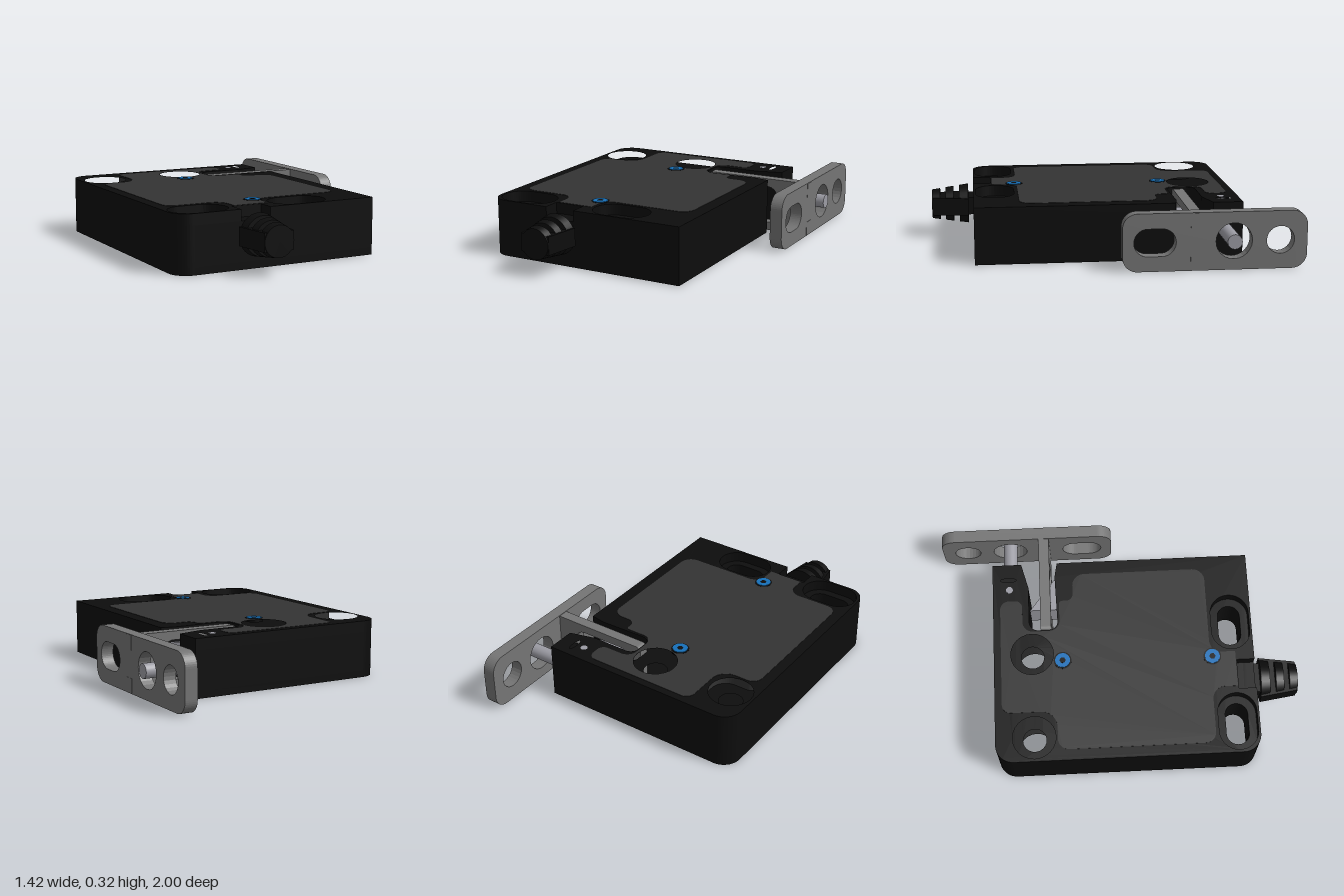
import * as THREE from 'three';

const mat = (color) => new THREE.MeshStandardMaterial({ color });
const black = mat(0x0d0d0d), dark = mat(0x333333), steel = mat(0x757575);
const bright = mat(0x9c9ca4), blue = mat(0x1670b9);

// Closed outline through [x, y, radius] corners, each corner rounded by its radius
function outline(pts, Type = THREE.Shape) {
  const s = new Type(), n = pts.length;
  pts.forEach(([x, y, r = 0], i) => {
    const p = new THREE.Vector2(x, y);
    const toward = (q) => new THREE.Vector2(q[0] - x, q[1] - y).normalize();
    const a = toward(pts[(i + n - 1) % n]), b = toward(pts[(i + 1) % n]);
    const at = (d, k) => p.clone().addScaledVector(d, k);
    const start = at(a, r), end = at(b, r);
    if (i === 0) s.moveTo(start.x, start.y); else s.lineTo(start.x, start.y);
    if (r > 0) {
      const c1 = at(a, r * 0.448), c2 = at(b, r * 0.448);
      s.bezierCurveTo(c1.x, c1.y, c2.x, c2.y, end.x, end.y);
    }
  });
  s.closePath();
  return s;
}
const rect = (x0, y0, x1, y1, r) => [[x0, y0, r], [x1, y0, r], [x1, y1, r], [x0, y1, r]];
const rectHole = (...a) => outline(rect(...a), THREE.Path);
function roundHole(x, y, r, ry = r) {
  return new THREE.Path().absellipse(x, y, r, ry, 0, Math.PI * 2, true);
}
const flip = (pts) => pts.map(([x, z, r]) => [x, -z, r]);

function extrude(shape, holes, depth) {
  shape.holes = holes;
  return new THREE.ExtrudeGeometry(shape, { depth, bevelEnabled: false, curveSegments: 12 });
}
// Plan outline given as x, z, raised from y0 to y1
function slab(pts, holes, y0, y1) {
  return extrude(outline(flip(pts)), holes, y1 - y0).rotateX(-Math.PI / 2).translate(0, y0, 0);
}

export function createModel() {
  const model = new THREE.Group();
  const add = (name, geometry, material, parent = model) => {
    const m = new THREE.Mesh(geometry, material);
    m.name = name;
    parent.add(m);
    return m;
  };

  // Housing: three layers, so that the mounting holes are counterbored at both ends
  const housing = new THREE.Group();
  housing.name = 'housing';
  model.add(housing);
  const notch = [[-0.35, 0.76], [-0.35, 0.66], [-0.18, 0.66], [-0.18, 0.76]];
  const plan = (front) => [
    [-0.715, -0.7, 0.1], [0.455, -0.7], [0.455, -0.535], [0.31, -0.497],
    [0.047, -0.497, 0.05], [0.047, -0.335, 0.05], [0.37, -0.345], [0.455, -0.33],
    [0.455, 0.76], ...front.slice().reverse(), [-0.715, 0.76, 0.1],
  ];
  const mounts = (grow) => [
    roundHole(-0.58, 0.485, 0.065 + grow),
    roundHole(-0.095, 0.485, 0.065 + grow),
    ...[[-0.655, -0.42], [-0.07, 0.165]].map(([a, b]) => {
      const g = Math.min(grow, 0.045), r = 0.063 + g;
      return rectHole(a - g, -0.64 - r, b + g, -0.64 + r, r - 0.0005);
    }),
    roundHole(0.36, 0.61, 0.012, 0.045),
  ];
  add('housingBase', slab(plan([]), mounts(0.035), 0, 0.04), black, housing);
  add('housingCore', slab(plan([]), mounts(0), 0.04, 0.255), black, housing);
  add('housingTop', slab(plan(notch), mounts(0.055), 0.255, 0.316), black, housing);

  // Cover plate let into the top
  const cover = [
    [-0.435, -0.66, 0.05], [0.23, -0.66, 0.05], [0.23, -0.535, 0.04],
    [0.04, -0.535, 0.06], [0.04, -0.325, 0.06], [0.22, -0.325, 0.02],
    [0.22, -0.245, 0.04], [0.38, -0.245, 0.07], [0.38, 0.513, 0.07],
    [-0.13, 0.513, 0.07], [-0.13, 0.655], [-0.335, 0.655], [-0.335, 0.513, 0.07],
    [-0.655, 0.513, 0.06], [-0.655, -0.355, 0.06], [-0.435, -0.355, 0.09],
  ];
  add('cover', slab(cover, [roundHole(-0.095, 0.485, 0.122)], 0.25, 0.318), dark);

  // Cover screws with a dark socket
  for (const [x, z] of [[-0.14, -0.315], [-0.155, 0.525]]) {
    add('screwSeat', new THREE.CylinderGeometry(0.05, 0.05, 0.02, 24).translate(x, 0.309, z), black);
    add('screw', new THREE.CylinderGeometry(0.042, 0.042, 0.02, 24).translate(x, 0.312, z), blue);
    add('screwSocket', new THREE.CylinderGeometry(0.018, 0.018, 0.02, 6).translate(x, 0.3125, z), black);
  }

  // Cable gland: flat web with three tapering ribs
  const gland = new THREE.Group();
  gland.name = 'cableGland';
  gland.position.set(-0.265, 0.183, 0);
  model.add(gland);
  const web = [
    [-0.083, 0.66], [0.083, 0.66], [0.083, 0.79], [0.115, 0.79],
    [0.085, 0.995], [-0.085, 0.995], [-0.115, 0.79], [-0.083, 0.79],
  ];
  add('glandWeb', slab(web, [], -0.05, 0.05), black, gland);
  const taper = (z) => 0.115 - (z - 0.79) * 0.146;
  for (const [a, b] of [[0.79, 0.842], [0.876, 0.922], [0.954, 1]]) {
    add('glandRib', new THREE.CylinderGeometry(taper(b), taper(a), b - a, 32)
      .rotateX(Math.PI / 2).translate(0, 0, (a + b) / 2), black, gland);
  }

  // Actuator plate, drawn in the side plane (-z, y)
  const plate = extrude(outline(rect(0.01, 0, 1, 0.315, 0.08)), [
    rectHole(0.07, 0.082, 0.295, 0.232, 0.0745),
    roundHole(0.605, 0.157, 0.098),
    roundHole(0.855, 0.157, 0.075),
  ], 0.07).rotateY(Math.PI / 2).translate(0.615, 0, 0);
  add('actuatorPlate', plate, steel);

  // Actuator tongue: a loop with tabs that pass through the plate
  const tongue = extrude(outline([
    [0.045, 0.003, 0.03], [0.687, 0.003], [0.687, 0.083], [0.63, 0.083],
    [0.63, 0.232], [0.687, 0.232], [0.687, 0.312], [0.045, 0.312, 0.03],
  ]), [rectHole(0.12, 0.05, 0.497, 0.265, 0.06)], 0.06).translate(0, 0, -0.433);
  add('actuatorTongue', tongue, steel);

  // Latch wedge inside the window of the tongue
  add('latch', slab([[0.2, -0.495], [0.4, -0.34], [0.2, -0.33]], [], 0.08, 0.235), bright);

  // Guide pin and its set screw
  add('guidePin', new THREE.CylinderGeometry(0.04, 0.04, 0.31, 24)
    .rotateZ(Math.PI / 2).translate(0.555, 0.157, -0.605), bright);
  add('setScrew', new THREE.CylinderGeometry(0.02, 0.02, 0.03, 16).translate(0.3, 0.302, -0.605), bright);

  return model;
}
